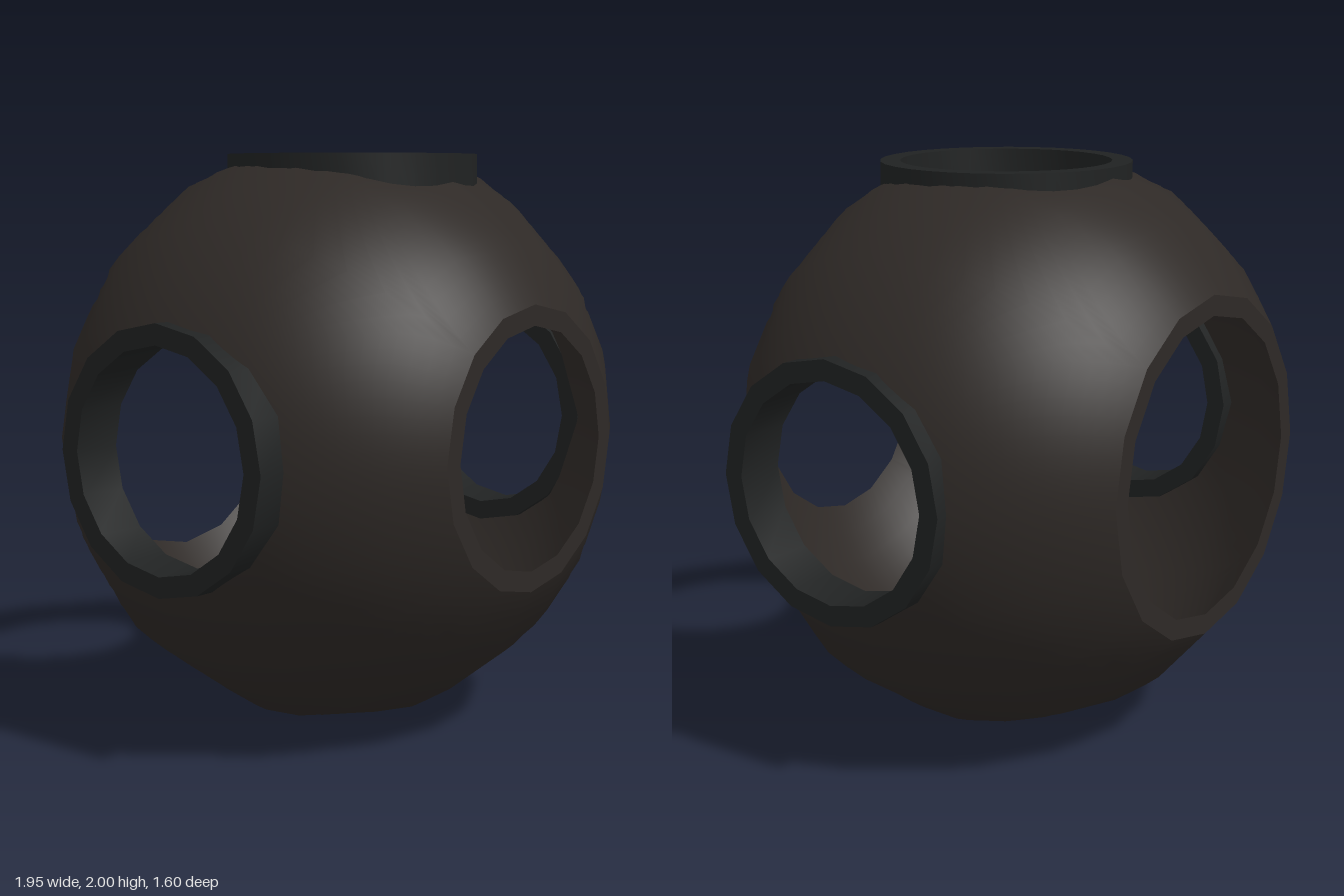
import * as THREE from 'three';
import { toCreasedNormals } from 'three/addons/utils/BufferGeometryUtils.js';

const CY = 1.03, CZ = 0.03;      // centre of the ports
const HALF = 0.8;                // flat front and back faces
const STEP = Math.PI / 8;        // sixteen facets around the z axis
const WALL = 0.07;
// Outer profile: z, radius around the z axis
const PROFILE = [
  [-0.8, 0.585], [-0.61, 0.8], [-0.43, 0.925], [-0.24, 0.99], [-0.05, 1.03],
  [0.125, 1.022], [0.31, 0.965], [0.49, 0.86], [0.68, 0.685], [0.8, 0.48],
];

function profileRadius(z) {
  let i = 1;
  while (i < PROFILE.length - 1 && z > PROFILE[i][0]) i++;
  const [z0, r0] = PROFILE[i - 1], [z1, r1] = PROFILE[i];
  return r0 + (r1 - r0) * (z - z0) / (z1 - z0);
}

// Point on the faceted shell at angle A around z
function shellPoint(A, z, inset) {
  const f = ((A % STEP) + STEP) % STEP - STEP / 2;
  const r = (profileRadius(z) - inset) * Math.cos(STEP / 2) / Math.cos(f);
  return new THREE.Vector3(r * Math.cos(A), CY + r * Math.sin(A), z);
}

// A quarter of the shell: rings run from a round hole to the quarter's border
function shellQuarter(phi, hole, inset) {
  const side = 16, count = side * 4, rings = 14;
  const pos = [], nor = [], idx = [];
  const sign = inset > 0 ? -1 : 1;
  for (let i = 0; i <= count; i++) {
    const s = Math.floor(i / side) % 4, k = (i % side) / side * 2 - 1;
    const [u, v] = [[1, k], [-k, 1], [-1, -k], [k, -1]][s];
    const dir = Math.atan2(v, u);
    const holeZ = CZ + hole * Math.sin(dir);
    const holeA = Math.asin(hole * Math.cos(dir) / (profileRadius(holeZ) - inset));
    for (let j = 0; j <= rings; j++) {
      const a = THREE.MathUtils.lerp(holeA, u * Math.PI / 4, j / rings);
      const z = THREE.MathUtils.lerp(holeZ, v * HALF, j / rings);
      const p = shellPoint(phi + a, z, inset);
      const n = p.clone().sub(new THREE.Vector3(0, CY, 0)).normalize().multiplyScalar(sign);
      pos.push(p.x, p.y, p.z);
      nor.push(n.x, n.y, n.z);
      if (i < count && j < rings) {
        const q = i * (rings + 1) + j, w = q + rings + 1;
        if (sign > 0) idx.push(q, q + 1, w + 1, q, w + 1, w);
        else idx.push(q, w + 1, q + 1, q, w, w + 1);
      }
    }
  }
  const g = new THREE.BufferGeometry();
  g.setAttribute('position', new THREE.Float32BufferAttribute(pos, 3));
  g.setAttribute('normal', new THREE.Float32BufferAttribute(nor, 3));
  g.setIndex(idx);
  return g;
}

// Short open pipe along +y between two heights
function collar(outer, inner, from, to, sides) {
  const pts = [[outer, from], [outer, to], [inner, to], [inner, from], [outer, from]]
    .map(([x, y]) => new THREE.Vector2(x, y));
  return toCreasedNormals(new THREE.LatheGeometry(pts, sides), 0.6);
}

export function createModel() {
  const model = new THREE.Group();
  const shellMat = new THREE.MeshStandardMaterial({ color: 0x2e2926 });
  const collarMat = new THREE.MeshStandardMaterial({ color: 0x202222 });
  const add = (parent, name, geo, mat) => {
    const m = new THREE.Mesh(geo, mat);
    m.name = name;
    parent.add(m);
    return m;
  };

  // Hollow ball: outer and inner skins, the bottom quarter has no port
  const shell = new THREE.Group();
  shell.name = 'shell';
  model.add(shell);
  ['left', 'top', 'right', 'bottom'].forEach((name, i) => {
    const hole = name === 'bottom' ? 0 : 0.4;
    add(shell, name + 'OuterSkin', shellQuarter(i * Math.PI / 2, hole, 0), shellMat);
    add(shell, name + 'InnerSkin', shellQuarter(i * Math.PI / 2, hole, WALL), shellMat);
  });

  // Flat rims of the front and back openings
  for (const [name, s] of [['frontRim', 1], ['backRim', -1]]) {
    const r = profileRadius(s * HALF);
    const rim = add(shell, name, new THREE.RingGeometry(r - WALL, r, 16), shellMat);
    rim.position.set(0, CY, s * HALF);
    if (s < 0) rim.rotation.y = Math.PI;
  }

  // Collars of the side and top ports
  for (const [name, s] of [['leftCollar', 1], ['rightCollar', -1]]) {
    const c = add(model, name, collar(0.44, 0.37, 0.8, 0.975, 16), collarMat);
    c.position.set(0, CY, CZ);
    c.rotation.z = -s * Math.PI / 2;
  }
  const top = add(model, 'topCollar', collar(0.435, 0.365, 1.82, 2, 32), collarMat);
  top.position.z = CZ;

  // Small stud on the inner floor
  const stud = add(model, 'floorStud', new THREE.CylinderGeometry(0.04, 0.04, 0.06, 12), collarMat);
  stud.position.set(0.25, 0.12, 0.18);

  return model;
}
